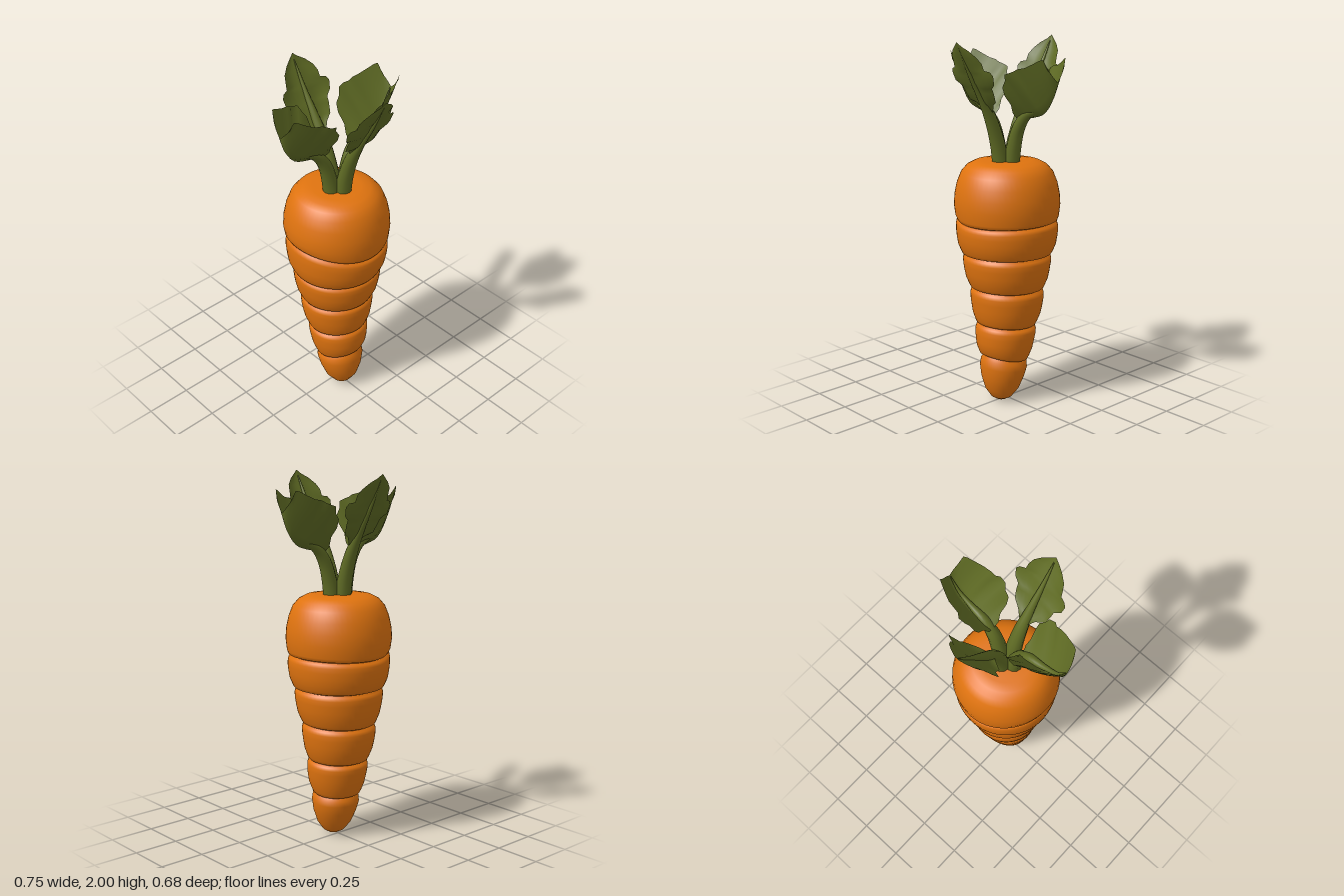
import * as THREE from 'three';
import { mergeVertices } from 'three/addons/utils/BufferGeometryUtils.js';

const orange = new THREE.MeshStandardMaterial({ color: 0xdf730f });
orange.name = 'carrotOrange';
const green = new THREE.MeshStandardMaterial({ color: 0x5f6b24, side: THREE.DoubleSide });
green.name = 'leafGreen';

// Drop the seam of a closed surface and smooth its normals
function smooth(geo) {
  geo.deleteAttribute('uv');
  geo.deleteAttribute('normal');
  const g = mergeVertices(geo, 1e-4);
  g.computeVertexNormals();
  return g;
}

// Stacked bulges with a groove between them; seams wander up and down
function makeRoot() {
  const pts = [[0, 0], [0.03, 0.004], [0.06, 0.022], [0.095, 0.07], [0.12, 0.14], [0.131, 0.2], [0.127, 0.236], [0.112, 0.254]];
  // bottom y, top y, bottom radius, top radius
  const rings = [
    [0.256, 0.445, 0.136, 0.167], [0.446, 0.65, 0.168, 0.202],
    [0.651, 0.85, 0.205, 0.241], [0.851, 1.03, 0.25, 0.276],
  ];
  for (const [y0, y1, r0, r1] of rings) {
    const h = y1 - y0;
    pts.push([r0 - 0.022, y0], [r0 - 0.004, y0 + 0.006], [r0 + 0.004, y0 + 0.022]);
    for (const t of [0.3, 0.5, 0.7]) pts.push([r0 + (r1 - r0) * t + 0.028 * t * (1 - t) + 0.003, y0 + h * t]);
    pts.push([r1, y0 + h * 0.85], [r1 - 0.005, y0 + h * 0.94], [r1 - 0.022, y1 - 0.002]);
  }
  pts.push([0.256, 1.031], [0.272, 1.036], [0.28, 1.055], [0.287, 1.12], [0.283, 1.18], [0.27, 1.24],
    [0.248, 1.295], [0.218, 1.33], [0.18, 1.35], [0.13, 1.358], [0, 1.36]);
  const geo = new THREE.LatheGeometry(pts.map(p => new THREE.Vector2(...p)), 56);
  const seams = [
    [0.255, (x, z) => 0.018 * z - 0.012 * x * x],
    [0.445, (x, z) => 0.008 * z - 0.004 * x * x],
    [0.65, (x, z) => 0.006 * z],
    [0.85, (x, z) => 0.003 * x * z],
    [1.03, (x, z) => 0.04 * Math.max(0, -x) ** 2 - 0.006 * z * z + 0.004],
  ];
  const p = geo.attributes.position;
  for (let i = 0; i < p.count; i++) {
    const x = p.getX(i), y = p.getY(i), z = p.getZ(i), r = Math.hypot(x, z) || 1;
    let dy = 0;
    for (const [sy, f] of seams) dy += f(x / r, z / r) * Math.exp(-(((y - sy) / 0.07) ** 2));
    const lean = 0.036 * Math.max(0, 1 - y / 0.55) - 0.008 * Math.min(1, y / 0.5);
    p.setXYZ(i, x, y + dy, z + lean);
  }
  return smooth(geo);
}

// Tapering round stalk in the xy plane; points are [out, y, radius]
function makeStem(points) {
  const curve = new THREE.CatmullRomCurve3(points.map(([u, y]) => new THREE.Vector3(u, y, 0)));
  const rows = 24, sides = 12, pos = [], idx = [];
  for (let i = 0; i <= rows; i++) {
    const t = i / rows, c = curve.getPoint(t), d = curve.getTangent(t);
    const k = Math.min(Math.floor(t * (points.length - 1)), points.length - 2);
    const r = THREE.MathUtils.lerp(points[k][2], points[k + 1][2], t * (points.length - 1) - k);
    for (let j = 0; j < sides; j++) {
      const a = j / sides * Math.PI * 2, n = Math.cos(a) * r;
      pos.push(c.x + d.y * n, c.y - d.x * n, Math.sin(a) * r);
      if (i < rows) {
        const q = i * sides + j, s = i * sides + (j + 1) % sides;
        idx.push(q, q + sides, s, s, q + sides, s + sides);
      }
    }
  }
  const geo = new THREE.BufferGeometry();
  geo.setAttribute('position', new THREE.Float32BufferAttribute(pos, 3));
  geo.setIndex(idx);
  geo.computeVertexNormals();
  return geo;
}

// Blade swept from rows of [rib out, rib y, edge out, edge y, half width]
function makeBlade(rows, bulge) {
  const n = 5, w = 2 * n + 1, pos = [], idx = [];
  rows.forEach(([mu, my, eu, ey, ew], i) => {
    for (let j = -n; j <= n; j++) {
      const t = Math.abs(j) / n, b = bulge * Math.sin(Math.PI * t) * ew;
      pos.push(mu + (eu - mu) * t + b, my + (ey - my) * t - b * 0.6, ew * j / n);
      if (i < rows.length - 1 && j < n) {
        const q = i * w + j + n;
        idx.push(q, q + 1, q + w, q + 1, q + w + 1, q + w);
      }
    }
  });
  const geo = new THREE.BufferGeometry();
  geo.setAttribute('position', new THREE.Float32BufferAttribute(pos, 3));
  geo.setIndex(idx);
  geo.computeVertexNormals();
  return geo;
}

export function createModel() {
  const model = new THREE.Group();
  model.name = 'carrot';
  const add = (parent, name, geo, mat) => {
    const m = new THREE.Mesh(geo, mat);
    m.name = name;
    parent.add(m);
  };
  add(model, 'root', makeRoot(), orange);

  // Tall, nearly flat leaves at front and back
  const tall = {
    stem: makeStem([[0.038, 1.33, 0.045], [0.06, 1.45, 0.041], [0.105, 1.58, 0.034], [0.17, 1.7, 0.022],
      [0.25, 1.83, 0.012], [0.325, 1.97, 0.003]]),
    blade: makeBlade([
      [0.125, 1.62, 0.12, 1.63, 0.03], [0.15, 1.66, 0.14, 1.67, 0.055], [0.175, 1.7, 0.165, 1.69, 0.1],
      [0.2, 1.745, 0.19, 1.74, 0.112], [0.215, 1.77, 0.205, 1.765, 0.115], [0.23, 1.795, 0.22, 1.79, 0.148],
      [0.245, 1.825, 0.235, 1.835, 0.156], [0.257, 1.845, 0.245, 1.855, 0.142], [0.27, 1.865, 0.256, 1.86, 0.112],
      [0.285, 1.89, 0.268, 1.895, 0.108], [0.305, 1.925, 0.29, 1.925, 0.095], [0.322, 1.96, 0.312, 1.957, 0.062],
      [0.333, 1.985, 0.33, 1.98, 0.025], [0.338, 2, 0.338, 2, 0.001],
    ], 0.08),
  };

  // Broad side leaves folded upward along the rib
  const broad = {
    stem: makeStem([[0.042, 1.33, 0.045], [0.062, 1.44, 0.04], [0.095, 1.54, 0.035], [0.155, 1.615, 0.026],
      [0.24, 1.655, 0.016], [0.315, 1.705, 0.009], [0.368, 1.8, 0.003]]),
    blade: makeBlade([
      [0.095, 1.58, 0.09, 1.62, 0.035], [0.115, 1.585, 0.1, 1.67, 0.06], [0.135, 1.59, 0.095, 1.72, 0.1],
      [0.16, 1.597, 0.1, 1.765, 0.12], [0.19, 1.604, 0.125, 1.8, 0.125], [0.215, 1.61, 0.14, 1.835, 0.142],
      [0.24, 1.617, 0.175, 1.845, 0.146], [0.265, 1.625, 0.195, 1.855, 0.13], [0.29, 1.64, 0.22, 1.868, 0.128],
      [0.315, 1.665, 0.26, 1.875, 0.122], [0.335, 1.695, 0.3, 1.895, 0.106], [0.355, 1.73, 0.335, 1.915, 0.09],
      [0.368, 1.77, 0.352, 1.92, 0.08], [0.375, 1.805, 0.362, 1.87, 0.06],
    ], 0.06),
  };

  // Four leaves around the crown
  ['leftLeaf', 'backLeaf', 'rightLeaf', 'frontLeaf'].forEach((name, i) => {
    const leaf = new THREE.Group();
    leaf.name = name;
    const kind = i % 2 ? tall : broad;
    add(leaf, 'stem', kind.stem, green);
    add(leaf, 'blade', kind.blade, green);
    leaf.rotation.y = i * Math.PI / 2;
    model.add(leaf);
  });
  return model;
}
